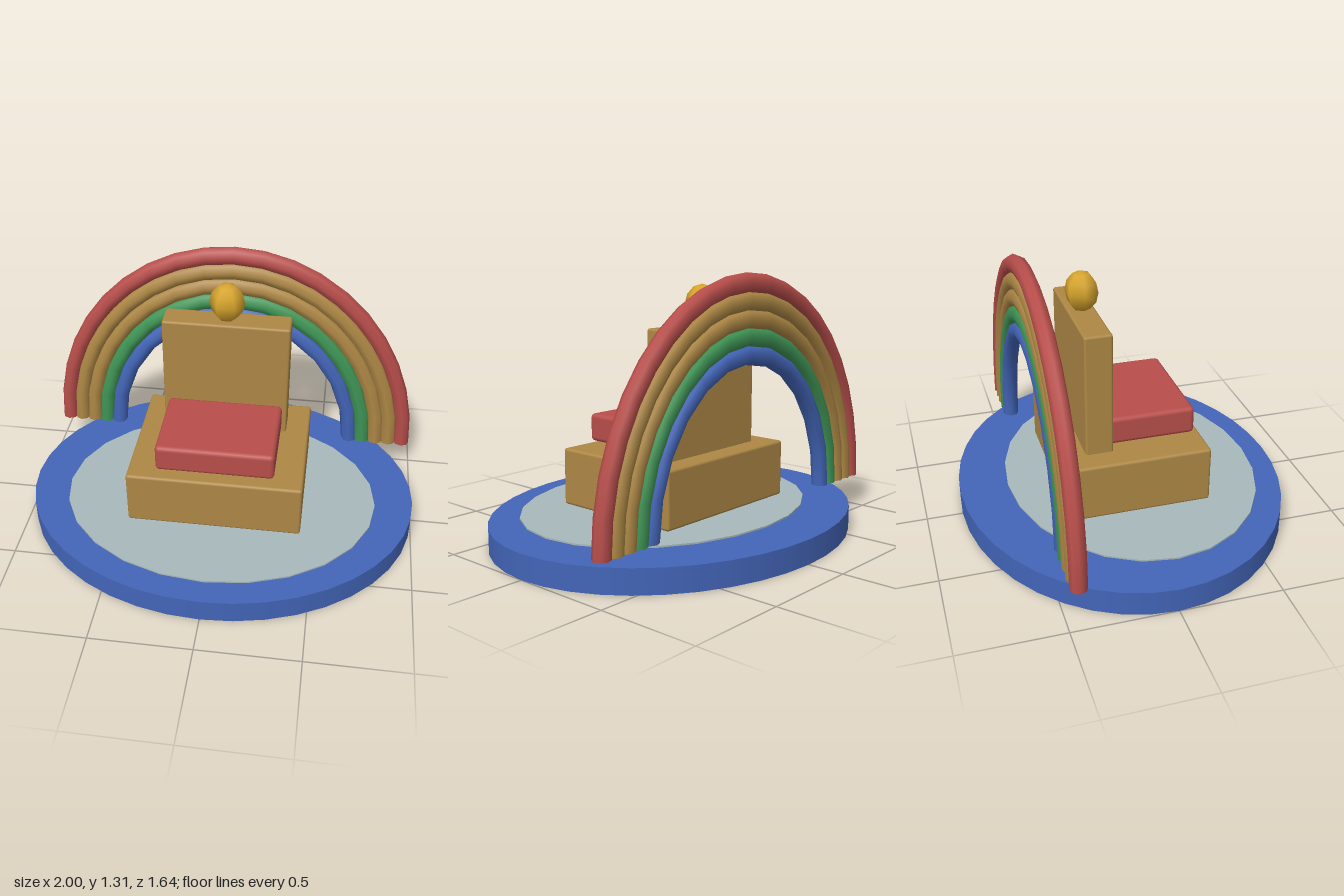
import * as THREE from 'three';
import { RoundedBoxGeometry } from 'three/addons/geometries/RoundedBoxGeometry.js';

const material = (name, color) => {
  const m = new THREE.MeshStandardMaterial({ color });
  m.name = name;
  return m;
};

export function createModel() {
  const blue = material('blue', 0x4365b8);
  const wood = material('ochre', 0xae8845);
  const red = material('red', 0xb84e4b);
  const grey = material('pale grey', 0xa8b8ba);
  const gold = material('gold', 0xd6a42c);
  const green = material('green', 0x3f9556);

  const model = new THREE.Group();
  model.name = 'rainbowThrone';

  const add = (name, geometry, mat, x, y, z, parent = model) => {
    const mesh = new THREE.Mesh(geometry, mat);
    mesh.name = name;
    mesh.position.set(x, y, z);
    parent.add(mesh);
    return mesh;
  };
  const box = (name, w, h, d, bevel, mat, x, y, z) =>
    add(name, new RoundedBoxGeometry(w, h, d, 2, bevel), mat, x, y, z);

  // Oval platform and the thin oval mat above it
  add('platform', new THREE.CylinderGeometry(1, 1, 0.12, 40), blue, 0, 0.06, 0).scale.z = 0.82;
  add('floorMat', new THREE.CylinderGeometry(0.805, 0.805, 0.008, 24), grey, 0, 0.13, 0.06).scale.z = 0.795;

  // Throne
  box('seatBase', 0.87, 0.285, 0.7, 0.014, wood, 0, 0.2975, 0);
  box('backrest', 0.635, 0.625, 0.137, 0.012, wood, 0, 0.7425, -0.177);
  box('cushion', 0.585, 0.14, 0.43, 0.022, red, 0, 0.53, 0.095);
  add('finial', new THREE.SphereGeometry(1, 6, 6), gold, 0, 1.15, -0.175).scale.set(0.088, 0.1, 0.083);

  // Rainbow: five half rings, stretched upwards, with closed feet
  const rainbow = new THREE.Group();
  rainbow.name = 'rainbow';
  rainbow.position.set(0, 0.18, -0.442);
  rainbow.scale.y = 1.153;
  model.add(rainbow);
  const bands = [['red', red], ['outerOchre', wood], ['innerOchre', wood], ['green', green], ['blue', blue]];
  const tube = 0.042;
  bands.forEach(([name, mat], i) => {
    const radius = 0.939 - i * 0.072;
    add(name + 'Band', new THREE.TorusGeometry(radius, tube, 8, 20 - i * 2, Math.PI), mat, 0, 0, 0, rainbow);
    for (const side of [-1, 1]) {
      const foot = new THREE.CircleGeometry(tube, 8).rotateX(Math.PI / 2);
      add(name + 'Foot', foot, mat, side * radius, 0, 0, rainbow);
    }
  });

  return model;
}
